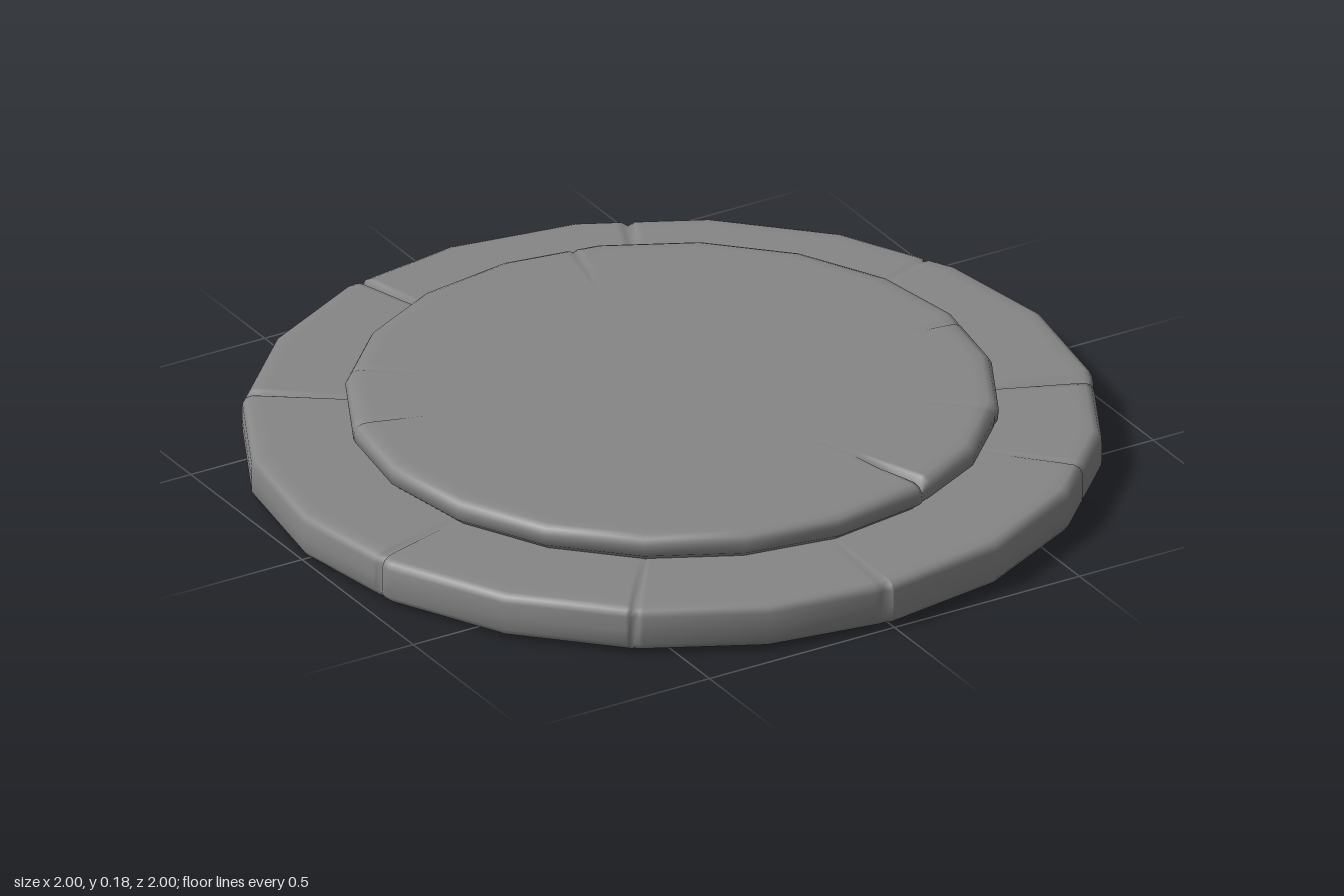
import * as THREE from 'three';

const SIDES = 20;
const rad = THREE.MathUtils.degToRad;

// Radius of a unit 20-sided polygon with a corner on +x
function polygonRadius(a) {
  const step = (Math.PI * 2) / SIDES;
  return Math.cos(step / 2) / Math.cos((a % step) - step / 2);
}

// Closed slab swept around y. profile rows: [radius, y, share of notch, share of groove]
// cracks rows: [angle in degrees, notch depth inward, groove depth downward, half width in degrees]
function crackedSlab(name, profile, cracks, material) {
  const angles = new Set();
  for (let i = 0; i < SIDES; i++) angles.add((i * 360) / SIDES);
  for (const [a, , , w] of cracks) for (const k of [-2, -1, 0, 1, 2]) angles.add(a + k * w);
  const list = [...angles].sort((p, q) => p - q);
  const n = list.length;

  const positions = [];
  for (const [r, y, notchShare, grooveShare] of profile) {
    for (const deg of list) {
      let inward = 0, down = 0;
      for (const [c, notch, groove, w] of cracks) {
        const k = Math.max(0, 1 - Math.abs(deg - c) / w);
        inward += k * notch * notchShare;
        down += k * groove * grooveShare;
      }
      const a = rad(deg);
      const rr = r * polygonRadius(a) - inward;
      positions.push(rr * Math.cos(a), y - down, rr * Math.sin(a));
    }
  }

  const index = [];
  for (let i = 0; i < profile.length - 1; i++) {
    for (let j = 0; j < n; j++) {
      const k = (j + 1) % n;
      const a = i * n + j, b = i * n + k, c = a + n, d = b + n;
      index.push(a, c, b, b, c, d);
    }
  }

  const geometry = new THREE.BufferGeometry();
  geometry.setAttribute('position', new THREE.Float32BufferAttribute(positions, 3));
  geometry.setIndex(index);
  geometry.computeVertexNormals();
  const mesh = new THREE.Mesh(geometry, material);
  mesh.name = name;
  return mesh;
}

export function createModel() {
  const group = new THREE.Group();
  group.name = 'stonePlatform';
  const stone = new THREE.MeshStandardMaterial({ color: 0x868686 });

  // Wide lower slab with softened rim
  const baseProfile = [
    [0, 0, 0, 0], [0.93, 0, 0, 0], [0.965, 0.002, 0, 0], [0.988, 0.01, 0.2, 0],
    [0.999, 0.026, 0.5, 0], [1, 0.06, 0.7, 0], [0.999, 0.095, 0.9, 0.2],
    [0.992, 0.109, 0.9, 0.6], [0.978, 0.115, 0.5, 1], [0.95, 0.116, 0, 0.9],
    [0.86, 0.116, 0, 0.6], [0.77, 0.116, 0, 0.3], [0.72, 0.116, 0, 0], [0, 0.116, 0, 0],
  ];
  const baseCracks = [
    [21, 0.012, 0.034, 1], [46, 0.006, 0.006, 0.6], [91, 0.012, 0.004, 0.8],
    [126, 0.018, 0.01, 0.6], [164, 0.016, 0.008, 0.6], [217, 0.008, 0.014, 0.8],
    [254, 0.014, 0.014, 0.8], [295, 0.004, 0.014, 0.9], [338, 0.016, 0.004, 0.7],
  ];
  group.add(crackedSlab('lowerSlab', baseProfile, baseCracks, stone));

  // Raised inner disc, slightly undercut at its foot
  const discProfile = [
    [0, 0.1, 0, 0], [0.732, 0.1, 0, 0], [0.738, 0.118, 0.2, 0], [0.757, 0.132, 0.5, 0],
    [0.76, 0.158, 0.8, 0.2], [0.752, 0.173, 0.8, 0.7], [0.736, 0.18, 0.4, 1],
    [0.71, 0.181, 0, 0.9], [0.63, 0.181, 0, 0.4], [0.54, 0.181, 0, 0], [0, 0.181, 0, 0],
  ];
  const discCracks = [
    [4, 0.002, 0.005, 0.7], [38, 0.003, 0.003, 0.8], [70, 0.008, 0.028, 1.2],
    [198, 0.003, 0.007, 0.8], [219, 0.002, 0.003, 0.8], [283, 0.003, 0.006, 0.9],
  ];
  group.add(crackedSlab('upperDisc', discProfile, discCracks, stone));

  return group;
}
